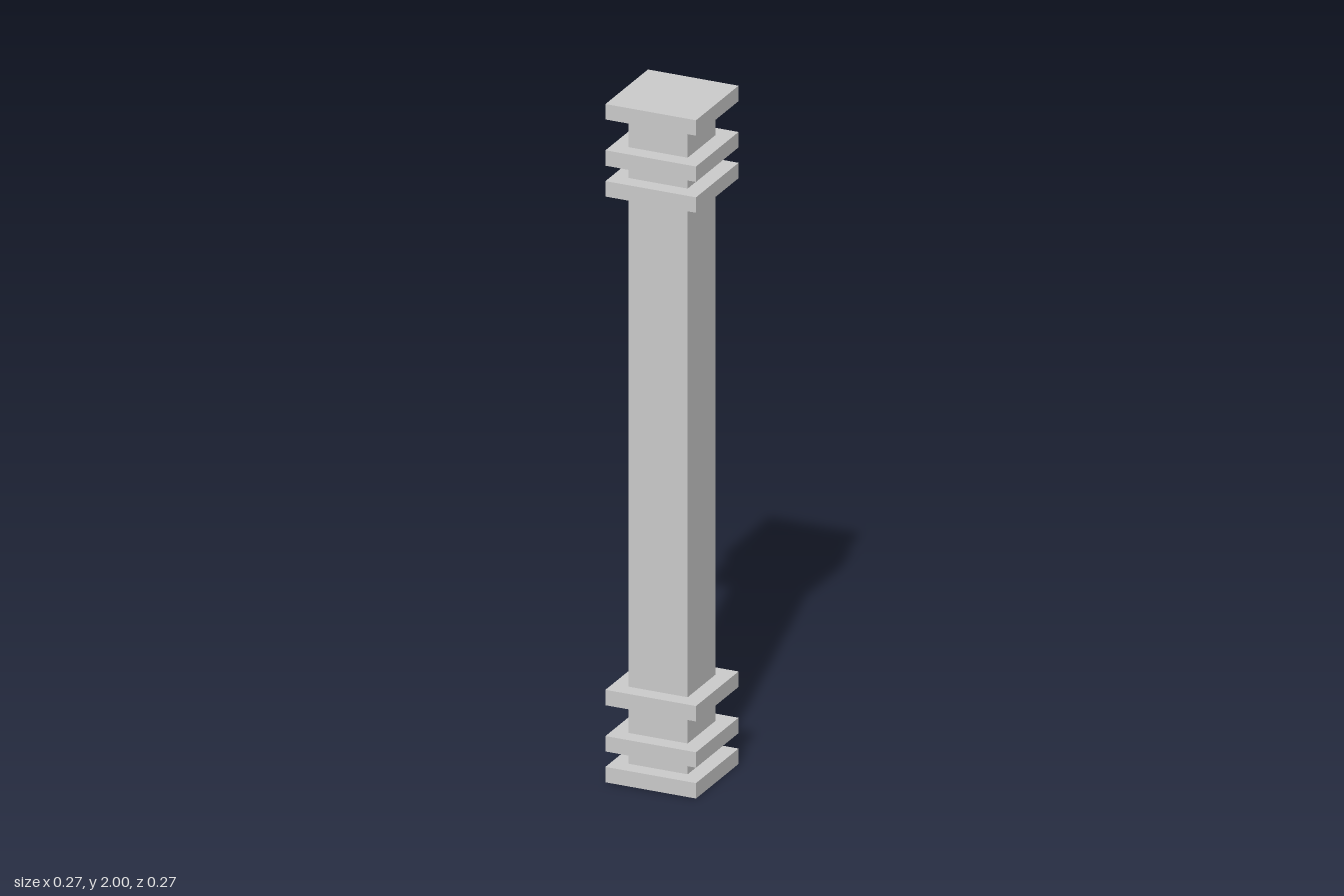
import * as THREE from 'three';

export function createModel() {
  const model = new THREE.Group();
  model.name = 'pillar';
  const material = new THREE.MeshStandardMaterial({ color: 0xcccccc, flatShading: true });

  // The pillar is laid out in 44 equal courses of height
  const unit = 2 / 44;

  function addBlock(name, width, bottom, top) {
    const mesh = new THREE.Mesh(new THREE.BoxGeometry(width, top - bottom, width), material);
    mesh.position.y = (bottom + top) / 2;
    mesh.name = name;
    model.add(mesh);
  }

  // Square shaft, ending inside the base and cap slabs
  addBlock('shaft', 0.178, unit / 2, 2 - unit / 2);

  // Square slabs, one course thick, placed by the course they start on
  const slabs = {
    baseSlab: 0, lowerBaseCollar: 2, upperBaseCollar: 5,
    lowerCapCollar: 38, upperCapCollar: 40, capSlab: 43,
  };
  for (const [name, course] of Object.entries(slabs)) {
    addBlock(name, 6 * unit, course * unit, (course + 1) * unit);
  }

  return model;
}
